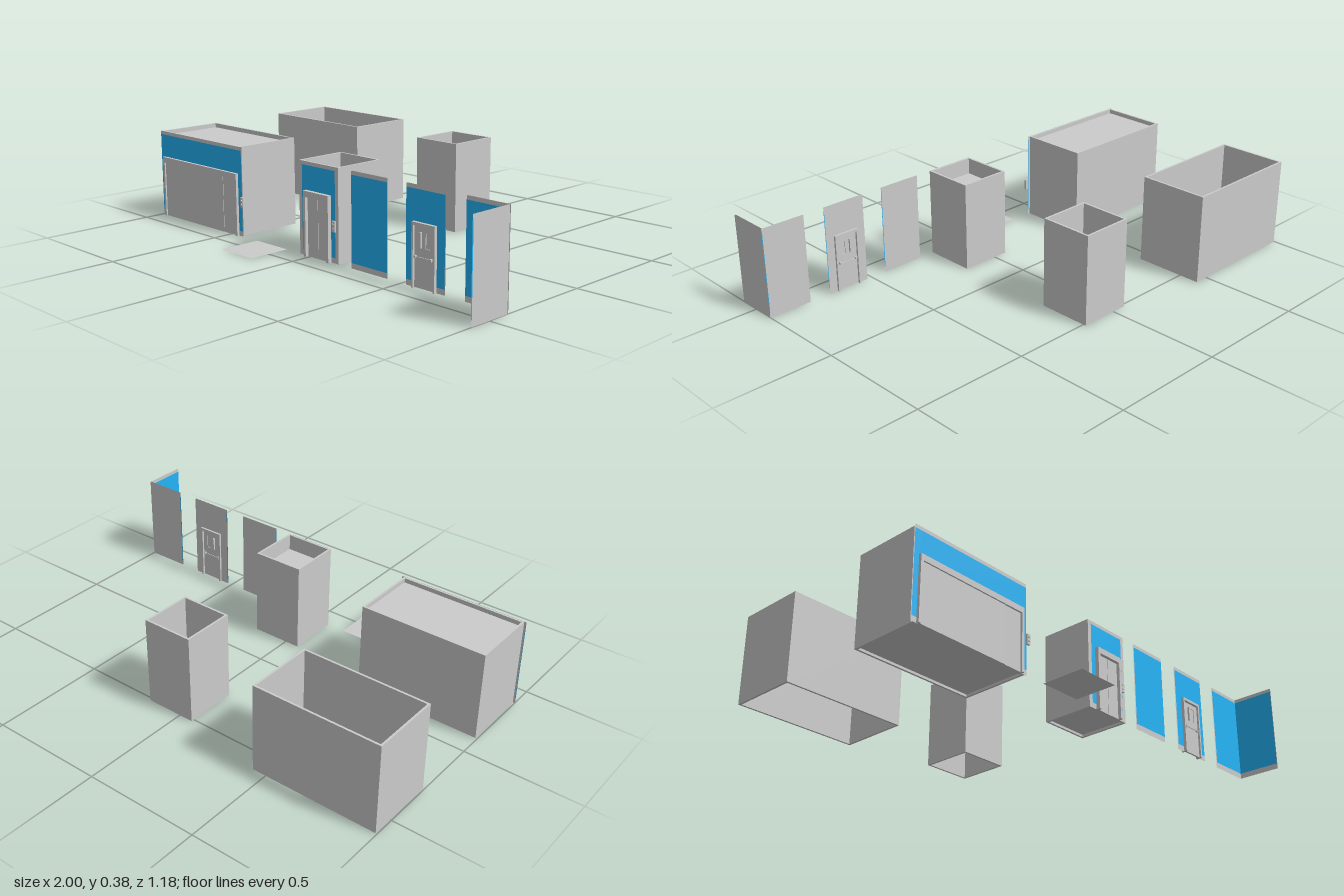
import * as THREE from 'three';

const GREY = new THREE.MeshStandardMaterial({ color: 0xcccccc });
const THIN = new THREE.MeshStandardMaterial({ color: 0xcccccc, side: THREE.DoubleSide });
const THIN_BLUE = new THREE.MeshStandardMaterial({ color: 0x24b4f7, side: THREE.DoubleSide });
const H = 0.385, Z = 0.403, T = 0.009;
const BASE = 0.022, CORNICE = 0.37, PANEL = 0.004;

function group(name, parent) {
  const g = new THREE.Group();
  g.name = name;
  parent.add(g);
  return g;
}

// Box given by its extents
function box(parent, name, x0, x1, y0, y1, z0, z1) {
  const m = new THREE.Mesh(new THREE.BoxGeometry(x1 - x0, y1 - y0, z1 - z0), GREY);
  m.position.set((x0 + x1) / 2, (y0 + y1) / 2, (z0 + z1) / 2);
  m.name = name;
  parent.add(m);
}

// Wall skin: coloured sheet in front, grey lining just behind it
function skin(parent, name, x0, x1, y0, y1, mat) {
  const layers = [[name, 0, mat], [name + 'Lining', -PANEL, THIN]];
  for (const [label, z, m] of layers) {
    const s = new THREE.Mesh(new THREE.PlaneGeometry(x1 - x0, y1 - y0), m);
    s.position.set((x0 + x1) / 2, (y0 + y1) / 2, z);
    s.name = label;
    parent.add(s);
  }
}

// Wall panel centred on x = 0 with skirting, blue field, cornice and optional doorway
function wallPanel(parent, name, width, doorW = 0, doorH = 0) {
  const g = group(name, parent), w = width / 2, d = doorW / 2;
  skin(g, 'cornice', -w, w, CORNICE, H, THIN);
  const strips = doorW ? [[-w, -d], [d, w]] : [[-w, w]];
  for (const [a, b] of strips) {
    skin(g, 'skirting', a, b, 0, BASE, THIN);
    skin(g, 'field', a, b, BASE, CORNICE, THIN_BLUE);
  }
  if (doorW) skin(g, 'field', -d, d, doorH, CORNICE, THIN_BLUE);
  return g;
}

// Two posts and a lintel
function doorFrame(parent, w, h, post, lintel, z0, z1) {
  const g = group('doorFrame', parent);
  box(g, 'post', -w, post - w, 0, h, z0, z1);
  box(g, 'post', w - post, w, 0, h, z0, z1);
  box(g, 'lintel', post - w, w - post, h - lintel, h, z0, z1);
}

// Four walls, open at top and bottom
function shaft(parent, name, x0, x1, z0, z1) {
  const g = group(name, parent);
  box(g, 'leftWall', x1 - T, x1, 0, H, z0, z1);
  box(g, 'rightWall', x0, x0 + T, 0, H, z0, z1);
  box(g, 'backWall', x0 + T, x1 - T, 0, H, z0, z0 + T);
  box(g, 'frontWall', x0 + T, x1 - T, 0, H, z1 - T, z1);
}

// Call button plate
function callPanel(parent, x) {
  const g = group('callPanel', parent);
  box(g, 'plate', x - 0.008, x + 0.008, 0.128, 0.172, Z, Z + 0.008);
  for (const y of [0.142, 0.159]) {
    const b = new THREE.Mesh(new THREE.CylinderGeometry(0.004, 0.004, 0.004, 12), GREY);
    b.rotation.x = Math.PI / 2;
    b.position.set(x, y, Z + 0.01);
    b.name = 'button';
    g.add(b);
  }
}

// Lift: shaft, floor, ceiling, facade, frame and sliding leaves
function lift(parent, o) {
  const g = group(o.name, parent);
  const hw = o.width / 2, z1 = Z - 0.001;
  g.position.x = o.x;
  shaft(g, 'shaft', -hw, hw, o.z0, z1);
  box(g, 'floor', -hw + T, hw - T, 0.01, 0.016, o.z0 + T, z1 - T);
  box(g, 'ceiling', -hw + T, hw - T, o.ceiling - 0.01, o.ceiling, o.z0 + T, z1 - T);
  wallPanel(g, 'facade', o.facade, 2 * o.door - 0.01, 0.255).position.z = Z;
  doorFrame(g, o.door, 0.27, 0.012, 0.025, Z, o.frameZ);
  for (const [x0, x1, z] of o.leaves) box(g, 'doorLeaf', x0, x1, 0, 0.245, z1, z);
  callPanel(g, o.panelX);
}

export function createModel() {
  const root = new THREE.Group();
  root.name = 'liftKit';

  // Wide goods lift and narrow passenger lift
  lift(root, {
    name: 'wideLift', x: -0.715, width: 0.554, facade: 0.57, z0: 0.1, ceiling: 0.366,
    door: 0.262, frameZ: 0.415, panelX: 0.291,
    leaves: [[-0.25, 0.165, 0.409], [0.165, 0.25, 0.407]],
  });
  lift(root, {
    name: 'narrowLift', x: 0.049, width: 0.225, facade: 0.19, z0: 0.175, ceiling: 0.315,
    door: 0.072, frameZ: 0.42, panelX: 0.091,
    leaves: [[-0.06, -0.001, 0.406], [0.001, 0.06, 0.406]],
  });

  // Bare shafts behind
  shaft(root, 'wideShaft', -0.994, -0.439, -0.59, -0.283);
  shaft(root, 'narrowShaft', -0.063, 0.162, -0.513, -0.283);

  // Floor tile
  const tile = new THREE.Mesh(new THREE.PlaneGeometry(0.19, 0.187), THIN);
  tile.rotation.x = -Math.PI / 2;
  tile.position.set(-0.24, 0.0005, 0.4965);
  tile.name = 'floorTile';
  root.add(tile);

  // Plain wall
  wallPanel(root, 'plainWall', 0.19).position.set(0.33, 0, Z);

  // Wall with hinged door
  const doorWall = group('doorWall', root);
  doorWall.position.set(0.618, 0, Z);
  wallPanel(doorWall, 'wall', 0.19, 0.105, 0.245);
  doorFrame(doorWall, 0.057, 0.25, 0.008, 0.012, -0.013, 0.013);

  // Door leaf around a narrow window
  const door = group('door', doorWall);
  const zf = 0.004, wx0 = 0.006, wx1 = 0.026, wy0 = 0.155, wy1 = 0.215;
  box(door, 'leafLower', -0.049, 0.049, 0.002, wy0, -zf, zf);
  box(door, 'leafUpper', -0.049, 0.049, wy1, 0.236, -zf, zf);
  box(door, 'leafSide', -0.049, wx0, wy0, wy1, -zf, zf);
  box(door, 'leafSide', wx1, 0.049, wy0, wy1, -zf, zf);
  box(door, 'windowPane', wx0, wx1, wy0, wy1, -0.001, 0.001);

  // Pull handles and push bars on both faces
  for (const s of [-1, 1]) {
    const side = group('doorFittings', door);
    if (s < 0) side.scale.z = -1;
    box(side, 'pullHandle', -0.019, -0.013, wy0, wy1, zf, 0.012);
    box(side, 'pushBar', -0.04, 0.04, 0.118, 0.122, 0.008, 0.011);
    for (const x of [-0.041, 0.037])
      box(side, 'barBracket', x - 0.004, x + 0.004, 0.115, 0.125, zf, 0.013);
  }

  // Inner corner of two walls
  const corner = group('cornerWall', root);
  wallPanel(corner, 'rearWall', 0.19).position.set(0.905, 0, Z);
  const side = wallPanel(corner, 'sideWall', 0.187);
  side.rotation.y = -Math.PI / 2;
  side.position.set(1 - PANEL, 0, Z + 0.0935);

  return root;
}
